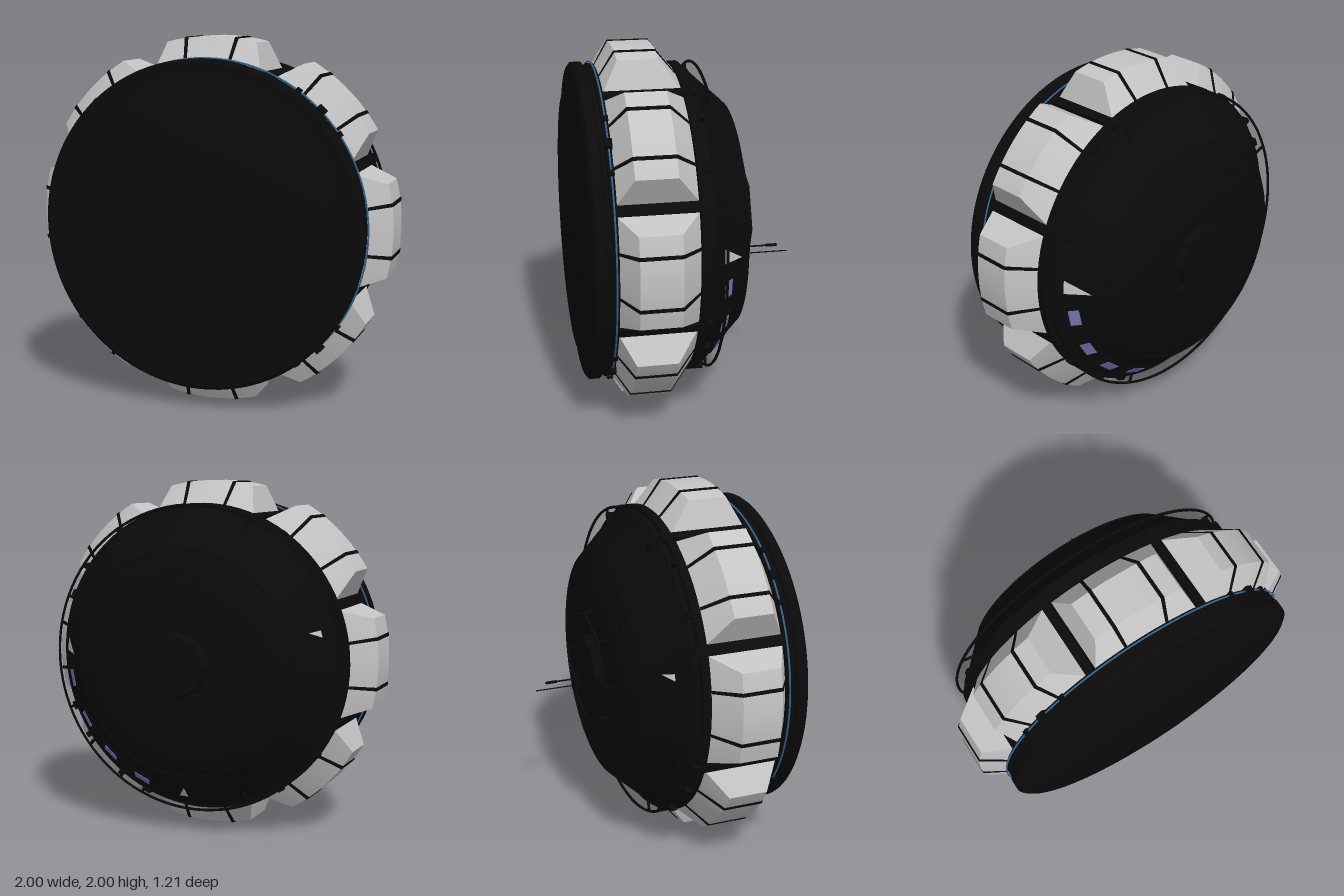
import * as THREE from 'three';
import { toCreasedNormals } from 'three/addons/utils/BufferGeometryUtils.js';

const rad = THREE.MathUtils.degToRad;
const polar = (r, a, z) => new THREE.Vector3(r * Math.cos(a), r * Math.sin(a), z);

// Bevelled arc block around the z axis; also used, very narrow, for straps.
function arcBlock(topHalf, baseHalf, lift, n) {
  const rows = [
    [0.86 + lift, 0.445, baseHalf], [1 + lift, 0.36 + lift * 0.5, topHalf],
    [1 + lift, 0.14 - lift * 0.5, topHalf], [0.86 + lift, 0.025, baseHalf],
  ];
  const p = (u, v) => polar(rows[v][0], rad(rows[v][2]) * (2 * u / n - 1), rows[v][1]);
  const pts = [];
  const quad = (a, b, c, d) => pts.push(a, b, c, a, c, d);
  for (let u = 0; u < n; u++)
    for (let v = 0; v < 3; v++) quad(p(u, v + 1), p(u + 1, v + 1), p(u + 1, v), p(u, v));
  quad(p(0, 3), p(0, 2), p(0, 1), p(0, 0));
  quad(p(n, 0), p(n, 1), p(n, 2), p(n, 3));
  const g = new THREE.BufferGeometry().setFromPoints(pts);
  g.computeVertexNormals();
  return toCreasedNormals(g, 0.35);
}

export function createModel() {
  const model = new THREE.Group();
  model.name = 'roundHabitatModule';
  const hub = new THREE.Group();
  hub.name = 'hub';
  hub.position.y = 1;
  model.add(hub);

  const mat = (name, color) => {
    const m = new THREE.MeshStandardMaterial({ color });
    m.name = name;
    return m;
  };
  const black = mat('black hull', 0x0a0a0a);
  const grey = mat('light grey', 0xc4c4c4);
  const violet = mat('violet glass', 0x7a78b8);
  const blue = mat('blue trim', 0x356790);
  grey.side = THREE.DoubleSide;

  const add = (name, geo, material, parent = hub) => {
    const m = new THREE.Mesh(geo, material);
    m.name = name;
    parent.add(m);
    return m;
  };
  const box = (name, size, pos, material, parent) => {
    const m = add(name, new THREE.BoxGeometry(...size), material, parent);
    m.position.set(...pos);
    return m;
  };
  const spoke = (name, degrees) => {
    const g = new THREE.Group();
    g.name = name;
    g.rotation.z = rad(degrees);
    hub.add(g);
    return g;
  };
  const rod = (name, a, b, r, parent = hub) => {
    const curve = new THREE.LineCurve3(new THREE.Vector3(...a), new THREE.Vector3(...b));
    add(name, new THREE.TubeGeometry(curve, 1, r, 8), black, parent);
  };
  const ring = (name, r, tube, z, material) => {
    add(name, new THREE.TorusGeometry(r, tube, 6, 96), material).position.z = z;
  };

  // Hull: back dome, side bands and front plate in one turned profile
  const profile = [
    [0, -0.335], [0.33, -0.325], [0.5, -0.31], [0.63, -0.275], [0.66, -0.255], [0.83, -0.07],
    [0.85, -0.06], [0.85, -0.03], [0.875, -0.025], [0.875, 0.02], [0.845, 0.025], [0.845, 0.44],
    [0.88, 0.445], [0.88, 0.475], [0.87, 0.48], [0.87, 0.5], [0.89, 0.51], [0.89, 0.56],
    [0.87, 0.575], [0.82, 0.575], [0.72, 0.605], [0, 0.605],
  ].map(([r, z]) => new THREE.Vector2(r, z));
  const hull = new THREE.LatheGeometry(profile, 96).rotateX(Math.PI / 2);
  add('hull', toCreasedNormals(hull, 0.4), black);
  ring('trimRing', 0.889, 0.005, 0.46, blue);
  ring('domeSeam', 0.5, 0.005, -0.31, black);
  ring('domeEdgeSeam', 0.635, 0.006, -0.273, black);

  // Eight pods with two straps each
  const podGeo = arcBlock(14.5, 20.5, 0, 10);
  const strapGeo = arcBlock(0.55, 0.55, 0.005, 1);
  for (let i = 0; i < 8; i++) {
    const s = spoke('podSection', i * 45);
    add('pod', podGeo, grey, s);
    for (const side of [-1, 1]) {
      add('podStrap', strapGeo, black, s).rotation.z = rad(8.1 * side);
      if (i % 2) {
        const lug = new THREE.Group();
        lug.name = 'strapLug';
        lug.rotation.z = rad(10 * side);
        s.add(lug);
        box('frontLug', [0.035, 0.03, 0.03], [0.885, 0, 0.46], black, lug);
        box('backLug', [0.04, 0.03, 0.04], [0.865, 0, -0.035], black, lug);
      }
    }
    if (i % 2) box('clamp', [0.04, 0.05, 0.035], [0.892, 0, 0.46], black, s);

    // Rib between pods and post carrying the hoop
    const rib = spoke('ribSection', i * 45 + 22.5);
    box('rib', [0.06, 0.05, 0.5], [0.85, 0, 0.2], black, rib);
    rod('hoopPost', [0.76, 0, -0.11], [0.87, 0, -0.11], 0.008, rib);
  }
  ring('handHoop', 0.868, 0.008, -0.11, black);

  // Frames that lie on the sloping dome: local x points outward
  const domePatch = (name, degrees, z) => {
    const g = new THREE.Group();
    g.name = name;
    g.position.set(0.83 + (z + 0.07) * 0.92, 0, z);
    g.rotation.y = 0.744;
    spoke(name + 'Spoke', degrees).add(g);
    return g;
  };
  for (const a of [-11, -30, -48, -66]) {
    const w = domePatch('window', a, -0.135);
    box('windowFrame', [0.016, 0.15, 0.105], [0, 0, 0], black, w);
    box('windowPane', [0.006, 0.1, 0.06], [0.008, 0, 0], violet, w);
  }

  // Light triangular patches on the dome
  const tri = new THREE.Shape([[0.07, 0.04], [0.07, -0.04], [-0.08, -0.04]]
    .map(([x, y]) => new THREE.Vector2(x, y)));
  const triGeo = new THREE.ShapeGeometry(tri).rotateY(Math.PI / 2).scale(1, 1, -1);
  for (const [a, size] of [[3.5, 1], [-86, 0.7], [166, 0.5]]) {
    const p = domePatch('patch', a, -0.155);
    const t = add('lightPatch', triGeo, grey, p);
    t.position.x = 0.012;
    t.scale.set(1, size, size);
  }

  // Back hatch with octagonal handrail
  const hatch = new THREE.CylinderGeometry(0.17, 0.19, 0.045, 8).rotateX(-Math.PI / 2);
  add('hatch', toCreasedNormals(hatch, 0.3), black).position.z = -0.348;
  for (let i = 0; i < 8; i++) {
    const a = polar(0.315, rad(i * 45), -0.365);
    const b = polar(0.315, rad(i * 45 + 45), -0.365);
    rod('handrail', a.toArray(), b.toArray(), 0.008);
    rod('railFoot', a.toArray(), polar(0.33, rad(i * 45), -0.315).toArray(), 0.009);
  }

  // Antennas
  box('antennaBase', [0.06, 0.1, 0.02], [0.19, -0.17, -0.37], black);
  rod('antennaMast', [0.19, -0.15, -0.32], [0.19, -0.15, -0.55], 0.005);
  rod('antennaTip', [0.19, -0.15, -0.48], [0.19, -0.15, -0.545], 0.009);
  rod('whipAntenna', [0.19, -0.19, -0.32], [0.19, -0.19, -0.605], 0.0035);
  return model;
}
